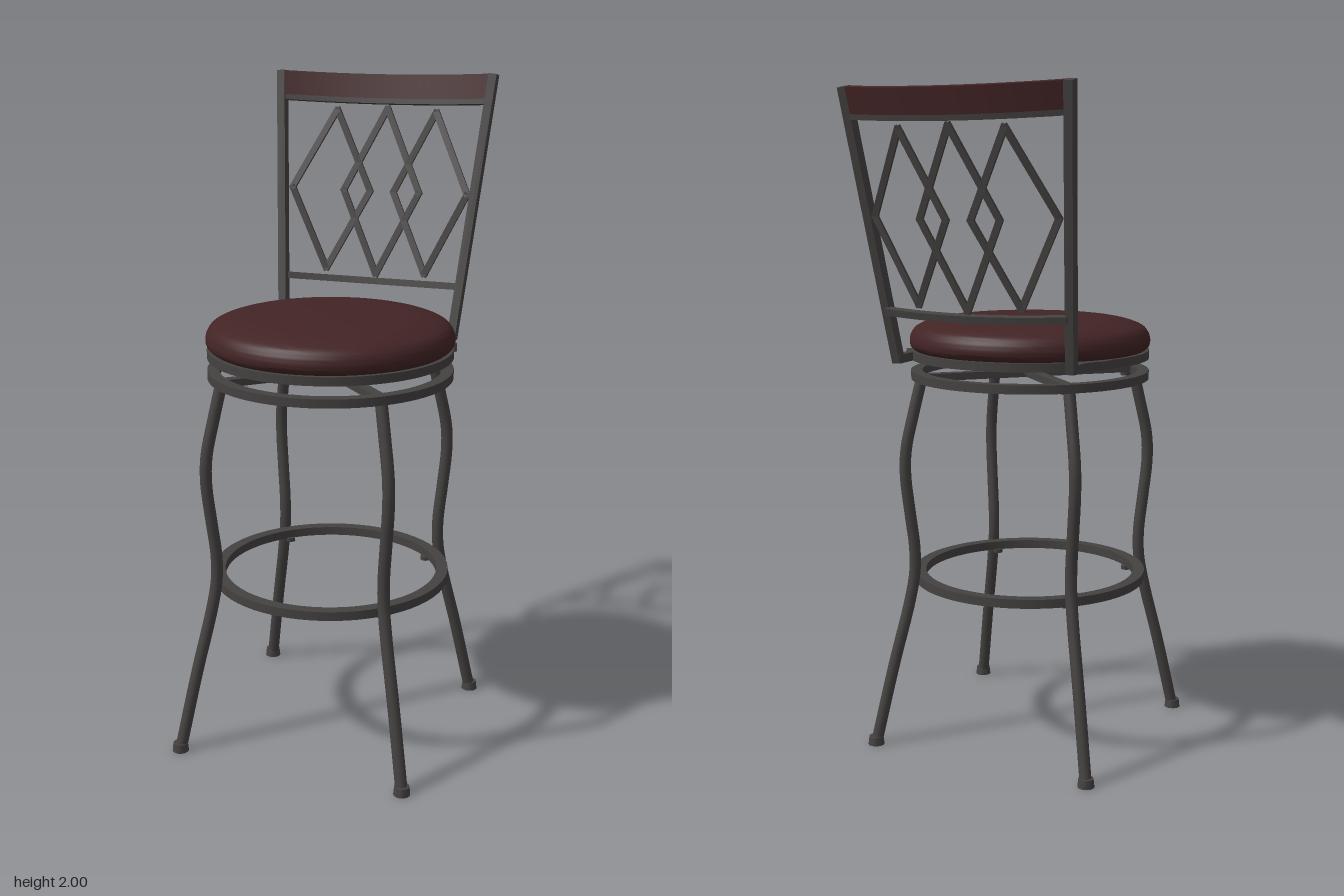
import * as THREE from 'three';
import { toCreasedNormals } from 'three/addons/utils/BufferGeometryUtils.js';

const metal = new THREE.MeshStandardMaterial({ color: 0x454141 });
metal.name = 'dark metal';
const maroon = new THREE.MeshStandardMaterial({ color: 0x432425 });
maroon.name = 'maroon';

const V = (x, y, z) => new THREE.Vector3(x, y, z);

function add(parent, name, geometry, material, x = 0, y = 0, z = 0) {
  const mesh = new THREE.Mesh(geometry, material);
  mesh.name = name;
  mesh.position.set(x, y, z);
  parent.add(mesh);
  return mesh;
}

// Straight rectangular bar between two points; the thickness faces z
function bar(parent, name, a, b, width, thick, extra = 0) {
  const dir = b.clone().sub(a);
  const geo = new THREE.BoxGeometry(width, dir.length() + extra, thick);
  const yAxis = dir.normalize();
  const ref = Math.abs(yAxis.z) > 0.8 ? V(0, 1, 0) : V(0, 0, 1);
  const xAxis = yAxis.clone().cross(ref).normalize();
  const zAxis = xAxis.clone().cross(yAxis);
  const mid = a.clone().add(b).multiplyScalar(0.5);
  const mesh = add(parent, name, geo, metal, mid.x, mid.y, mid.z);
  mesh.quaternion.setFromRotationMatrix(new THREE.Matrix4().makeBasis(xAxis, yAxis, zAxis));
}

// Flat hoop with a rectangular section
function hoop(parent, name, inner, outer, y0, y1) {
  const pts = [[inner, y0], [outer, y0], [outer, y1], [inner, y1], [inner, y0]]
    .map(([r, y]) => new THREE.Vector2(r, y));
  add(parent, name, toCreasedNormals(new THREE.LatheGeometry(pts, 64), 0.6), metal);
}

// Backwards bow of the backrest across its width
const bow = (x) => -0.05 * (1 - (x / 0.34) ** 2);

// Bowed rail between heights v0 and v1
function bowedRail(parent, name, half, v0, v1, thick, material) {
  const front = [], rear = [], n = 24;
  for (let i = 0; i <= n; i++) {
    const x = half * (2 * i / n - 1);
    front.push(new THREE.Vector2(x, -bow(x) - thick / 2));
    rear.unshift(new THREE.Vector2(x, -bow(x) + thick / 2));
  }
  const geo = new THREE.ExtrudeGeometry(new THREE.Shape([...front, ...rear]),
    { depth: v1 - v0, bevelEnabled: false });
  geo.rotateX(-Math.PI / 2);
  add(parent, name, toCreasedNormals(geo, 0.6), material, 0, v0, 0);
}

export function createModel() {
  const model = new THREE.Group();
  model.name = 'barStool';

  // Base and seat share one vertical axis, set forward of the origin
  const base = new THREE.Group();
  base.name = 'base';
  base.position.z = 0.077;
  model.add(base);

  // Curved legs on the diagonals, with feet and bolts
  const profile = [[0.346, 1.145], [0.37, 1.05], [0.397, 0.93], [0.4, 0.85], [0.387, 0.73],
    [0.374, 0.62], [0.375, 0.54], [0.392, 0.45], [0.445, 0.25], [0.502, 0.015]];
  const path = new THREE.CatmullRomCurve3(profile.map(([r, y]) => V(r, y, 0)));
  const legGeo = new THREE.TubeGeometry(path, 48, 0.018, 12);
  const footGeo = toCreasedNormals(new THREE.CylinderGeometry(0.022, 0.025, 0.026, 20), 0.6);
  const boltGeo = toCreasedNormals(new THREE.CylinderGeometry(0.015, 0.015, 0.012, 12), 0.6);
  for (let i = 0; i < 4; i++) {
    const leg = new THREE.Group();
    leg.name = 'leg';
    leg.rotation.y = Math.PI / 4 + i * Math.PI / 2;
    base.add(leg);
    add(leg, 'legTube', legGeo, metal);
    add(leg, 'foot', footGeo, metal, 0.505, 0.013, 0);
    add(leg, 'footRingBolt', boltGeo, metal, 0.33, 0.496, 0);
    add(leg, 'swivelRingBolt', boltGeo, metal, 0.32, 1.132, 0);
  }

  // Foot ring, swivel ring and seat ring
  hoop(base, 'footRing', 0.327, 0.362, 0.5, 0.527);
  hoop(base, 'swivelRing', 0.332, 0.367, 1.135, 1.161);
  hoop(base, 'seatRing', 0.332, 0.367, 1.198, 1.224);

  // Crossed supports inside the two upper rings, joined by the swivel post
  for (const y of [1.148, 1.211]) {
    for (const side of [-1, 1]) {
      const cross = add(base, 'crossBar', new THREE.BoxGeometry(0.68, 0.022, 0.032), metal, 0, y, 0);
      cross.rotation.y = side * Math.PI / 4;
    }
  }
  const post = new THREE.CylinderGeometry(0.03, 0.03, 0.07, 24);
  add(base, 'swivelPost', toCreasedNormals(post, 0.6), metal, 0, 1.18, 0);

  // Domed cushion
  const dome = new THREE.SplineCurve([[0.35, 1.222], [0.366, 1.235], [0.37, 1.255], [0.362, 1.28],
    [0.34, 1.299], [0.28, 1.316], [0.18, 1.323], [0, 1.325]].map(([r, y]) => new THREE.Vector2(r, y)));
  const cushion = [new THREE.Vector2(0, 1.222), ...dome.getPoints(28)];
  cushion[cushion.length - 1].x = 0;
  add(base, 'cushion', toCreasedNormals(new THREE.LatheGeometry(cushion, 64), 0.8), maroon);

  // Backrest, leaning back from the foot of its posts
  const back = new THREE.Group();
  back.name = 'backrest';
  back.position.set(0, 1.21, -0.238);
  back.rotation.x = -0.206;
  model.add(back);

  for (const s of [-1, 1]) {
    bar(back, 'backPost', V(s * 0.283, -0.008, 0), V(s * 0.349, 0.803, 0), 0.026, 0.032);
    // Brackets that tie the posts to the seat ring
    bar(model, 'backBracket', V(s * 0.283, 1.211, -0.25), V(s * 0.287, 1.211, -0.15), 0.026, 0.026);
    bar(model, 'backBracket', V(s * 0.287, 1.211, -0.16), V(s * 0.33, 1.211, -0.085), 0.026, 0.026);
  }
  bowedRail(back, 'topRail', 0.338, 0.728, 0.803, 0.026, maroon);
  bowedRail(back, 'upperRail', 0.335, 0.712, 0.728, 0.026, metal);
  bowedRail(back, 'lowerRail', 0.293, 0.143, 0.164, 0.024, metal);

  // Three overlapping diamonds following the bow
  for (const cx of [-0.165, 0, 0.165]) {
    const half = cx === 0 ? 0.262 : 0.253;
    const at = (x, v) => V(x, v, bow(x));
    const corners = [at(cx, 0.437 + half), at(cx + 0.126, 0.437), at(cx, 0.437 - half), at(cx - 0.126, 0.437)];
    corners.forEach((p, i) => bar(back, 'diamondBar', p, corners[(i + 1) % 4], 0.02, 0.009, 0.012));
  }
  return model;
}
